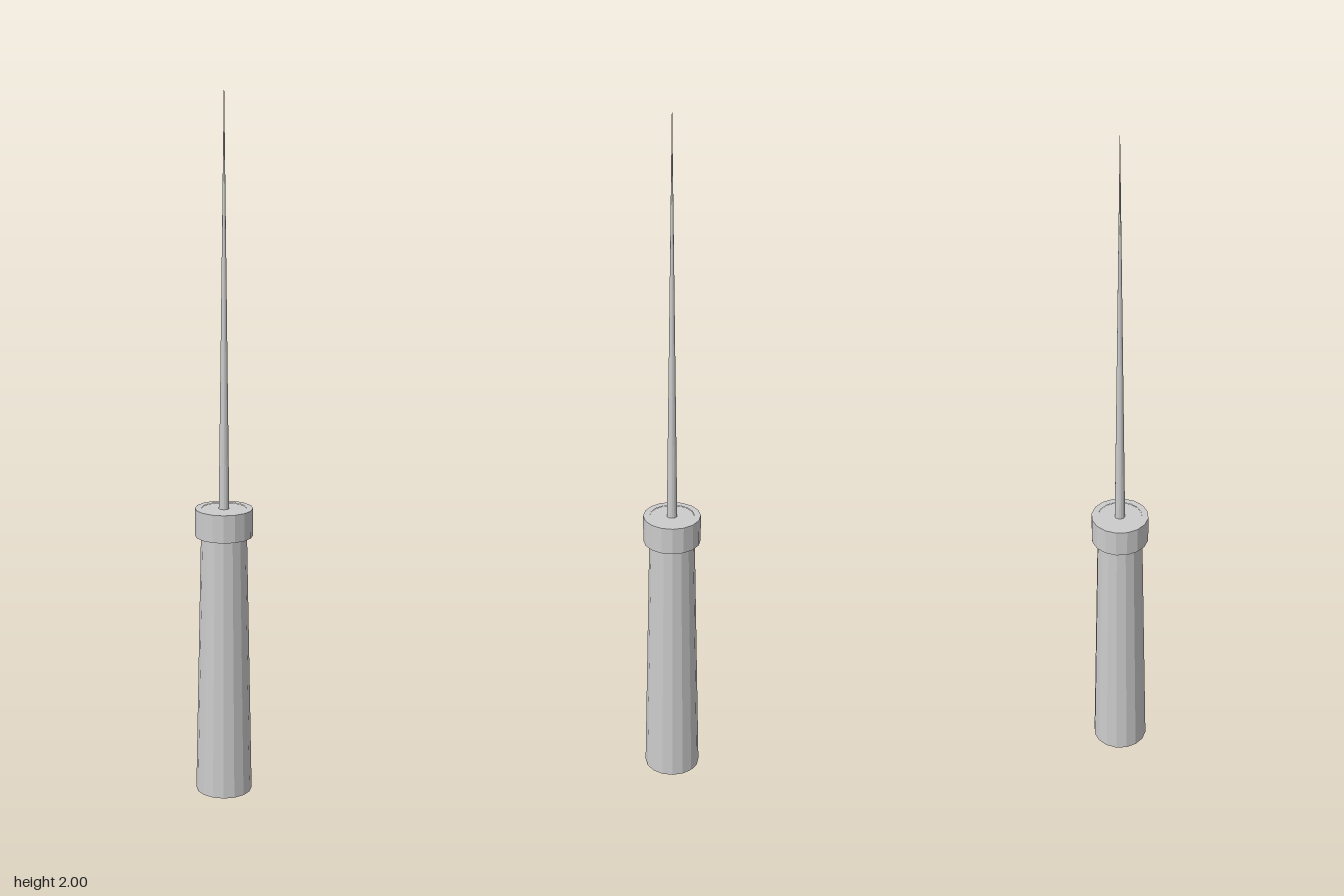
import * as THREE from 'three';

const SIDES = 16;

export function createModel() {
  const group = new THREE.Group();
  const material = new THREE.MeshStandardMaterial({ color: 0xcccccc, flatShading: true });

  const add = (name, geometry, y = 0) => {
    const mesh = new THREE.Mesh(geometry, material);
    mesh.name = name;
    mesh.position.y = y;
    group.add(mesh);
  };

  // Tapered grip, running up through the collar
  const gripHeight = 0.825;
  add('handle', new THREE.CylinderGeometry(0.062, 0.079, gripHeight, SIDES), gripHeight / 2);

  // Ring around the top of the grip
  const ring = [[0.062, 0.748], [0.08, 0.748], [0.08, 0.826], [0.062, 0.826]];
  add('collar', new THREE.LatheGeometry(ring.map(([r, y]) => new THREE.Vector2(r, y)), SIDES));

  // Long spike tapering to a point
  const spikeBase = 0.82;
  const spikeHeight = 2 - spikeBase;
  add('spike', new THREE.ConeGeometry(0.0145, spikeHeight, SIDES), spikeBase + spikeHeight / 2);

  return group;
}
